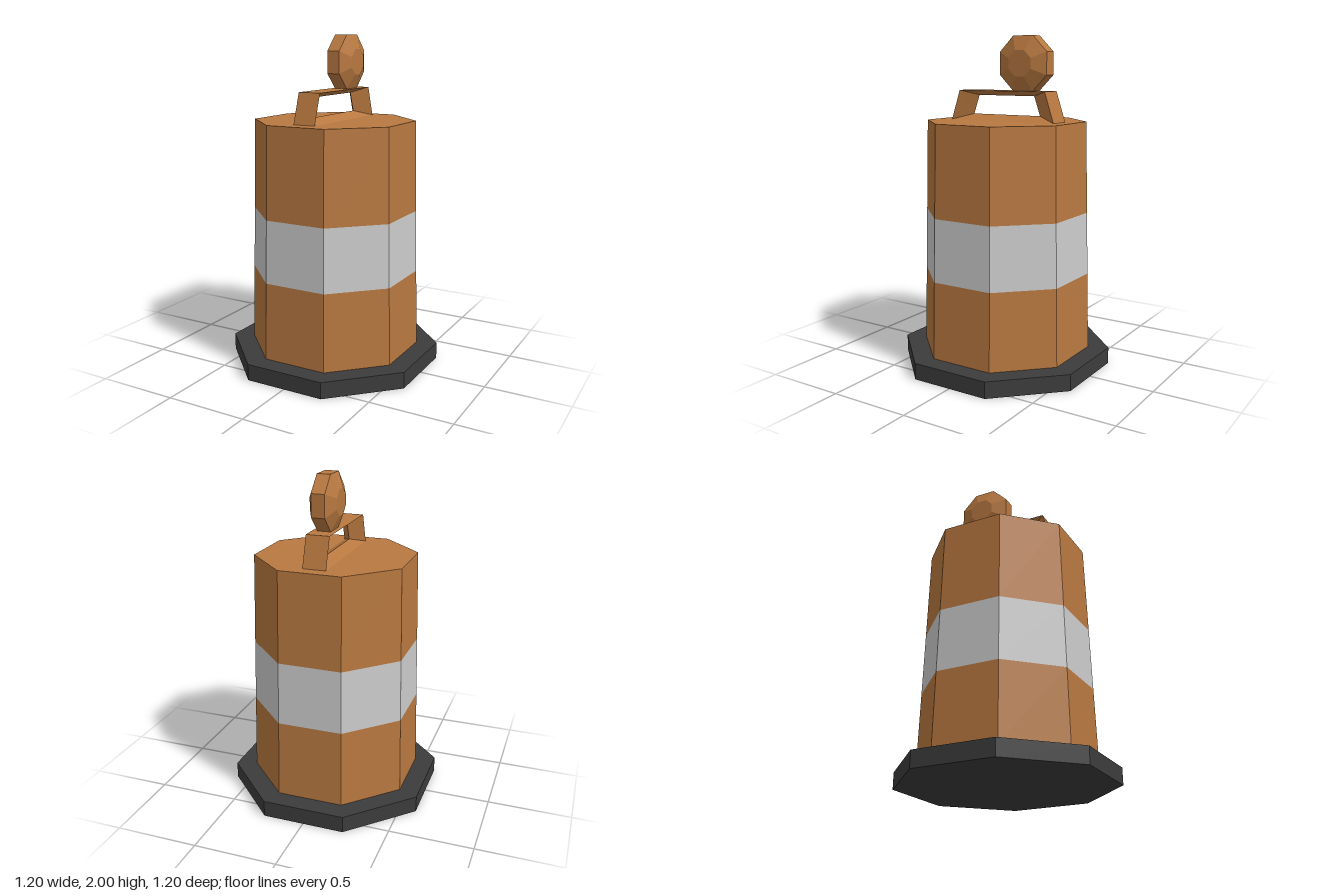
import * as THREE from 'three';

const SIDES = 8;
const TURN = Math.PI / SIDES;              // puts flat sides on the axes
const corner = (apothem) => apothem / Math.cos(TURN);

const paint = (color) => new THREE.MeshStandardMaterial({ color, flatShading: true });

export function createModel() {
  const group = new THREE.Group();
  const orange = paint(0xb87840);
  const white = paint(0xcccccc);
  const black = paint(0x3c3c3c);

  const add = (name, geometry, material) => {
    const mesh = new THREE.Mesh(geometry, material);
    mesh.name = name;
    group.add(mesh);
    return mesh;
  };

  // Octagonal slice between two heights, given the apothems at its ends
  const slice = (name, y0, y1, a0, a1, material, open = false) => {
    const geometry = new THREE.CylinderGeometry(corner(a1), corner(a0), y1 - y0, SIDES, 1, open, TURN);
    add(name, geometry, material).position.y = (y0 + y1) / 2;
  };

  // Rubber base
  slice('base', 0, 0.1, 0.6, 0.6, black);

  // Tapered drum with a reflective band
  const drumAt = (y) => 0.483 - (y - 0.1) * 0.0236;
  slice('lowerDrum', 0.1, 0.57, drumAt(0.1), drumAt(0.57), orange, true);
  slice('reflectiveBand', 0.57, 0.95, drumAt(0.57), drumAt(0.95), white, true);
  slice('upperDrum', 0.95, 1.5, drumAt(0.95), drumAt(1.5), orange);

  // Handle: a trapezoid frame whose sides slope in to the hole
  const outer = [[0.35, 1.5], [0.29, 1.68], [-0.31, 1.68], [-0.37, 1.5]];
  const inner = [[0.23, 1.535], [0.19, 1.65], [-0.2, 1.65], [-0.24, 1.535]];
  const ring = (x, loop) => loop.map(([z, y]) => [x, y, z]);
  const rings = [ring(0.07, outer), ring(-0.07, outer), ring(0, inner)];
  const corners = [];
  rings.forEach((from, r) => {
    const to = rings[(r + 1) % rings.length];
    for (let i = 0; i < 4; i++) {
      const j = (i + 1) % 4;
      corners.push(from[i], from[j], to[j], from[i], to[j], to[i]);
    }
  });
  const handle = new THREE.BufferGeometry();
  handle.setAttribute('position', new THREE.Float32BufferAttribute(corners.flat(), 3));
  handle.computeVertexNormals();
  add('handle', handle, orange);

  // Warning lamp: a bevelled octagonal disc standing on the handle
  const profile = [[0, -0.08], [0.075, -0.08], [0.16, -0.04], [0.16, 0.04], [0.075, 0.08], [0, 0.08]]
    .map(([a, y]) => new THREE.Vector2(corner(a), y));
  const lamp = new THREE.LatheGeometry(profile, SIDES, TURN);
  lamp.rotateZ(Math.PI / 2);
  add('warningLamp', lamp, orange).position.set(0, 1.84, -0.145);

  return group;
}
